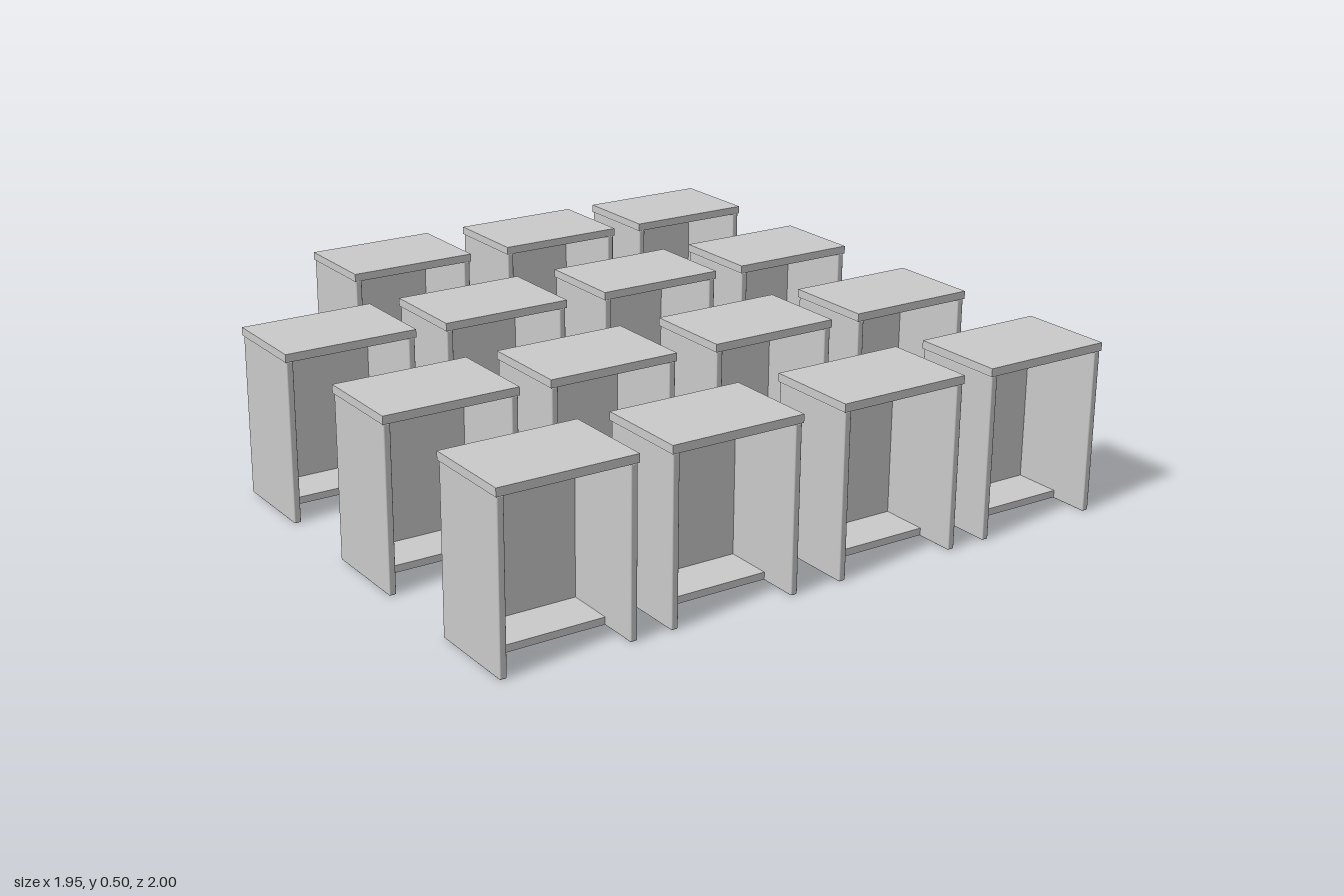
import * as THREE from 'three';
import { RoundedBoxGeometry } from 'three/addons/geometries/RoundedBoxGeometry.js';

const W = 0.406, H = 0.505, D = 0.286; // overall cabinet size
const T = 0.021, TOP = 0.024, LIP = 0.003; // panel thickness, top thickness, top overhang
const FLOOR_DEPTH = 0.16;

const material = new THREE.MeshStandardMaterial({ color: 0xcccccc });

// Shared panel geometries: soft edged carcase panels, crisp top
const sideGeo = new RoundedBoxGeometry(T, H - TOP, D - 2 * LIP, 2, 0.004);
const backGeo = new RoundedBoxGeometry(W - 2 * LIP - T, H - TOP, T, 2, 0.004);
const floorGeo = new THREE.BoxGeometry(W - 2 * T, T, FLOOR_DEPTH);
const topGeo = new THREE.BoxGeometry(W, TOP, D);

function addPanel(group, name, geometry, x, y, z) {
  const mesh = new THREE.Mesh(geometry, material);
  mesh.name = name;
  mesh.position.set(x, y, z);
  group.add(mesh);
}

// One open-fronted cabinet, standing on y = 0 and facing +z
function createCabinet() {
  const cabinet = new THREE.Group();
  cabinet.name = 'cabinet';
  const midY = (H - TOP) / 2;
  const sideX = W / 2 - LIP - T / 2;
  const backZ = -D / 2 + LIP;
  addPanel(cabinet, 'leftSide', sideGeo, sideX, midY, 0);
  addPanel(cabinet, 'rightSide', sideGeo, -sideX, midY, 0);
  addPanel(cabinet, 'backPanel', backGeo, 0, midY, backZ + T / 2);
  addPanel(cabinet, 'floorPanel', floorGeo, 0, 0.003 + T / 2, backZ + 0.003 + FLOOR_DEPTH / 2);
  addPanel(cabinet, 'topPanel', topGeo, 0, H - TOP / 2, 0);
  return cabinet;
}

export function createModel() {
  const model = new THREE.Group();
  model.name = 'cabinetArray';
  const columns = [-0.774, -0.271, 0.268, 0.771];
  const rows = [-0.857, -0.286, 0.286, 0.857];
  rows.forEach((z, r) => columns.forEach((x, c) => {
    if (r === 0 && c === 0) return; // the back corner is left empty
    const cabinet = createCabinet();
    cabinet.position.set(x, 0, z);
    model.add(cabinet);
  }));
  return model;
}
